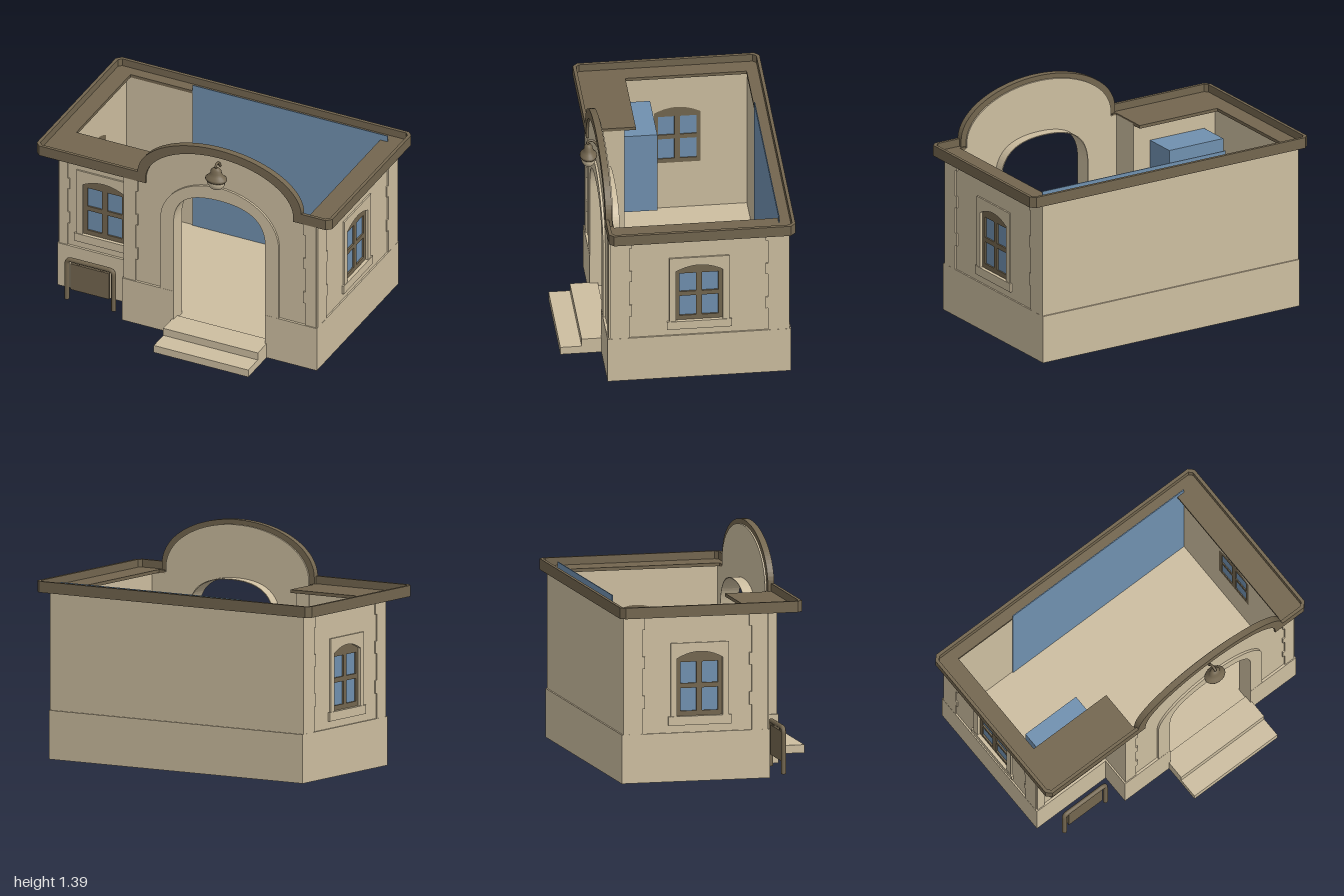
import * as THREE from 'three';

const mat = (name, color) => Object.assign(new THREE.MeshStandardMaterial({ color }), { name });

export function createModel() {
  const root = new THREE.Group();
  root.name = 'gatehouse';
  const stone = mat('sandStone', 0xcdbea0);
  const brown = mat('darkBrown', 0x73664f);
  const blue = mat('blueGlass', 0x7090af);

  const add = (parent, name, geo, material, x = 0, y = 0, z = 0) => {
    const m = new THREE.Mesh(geo, material);
    m.name = name;
    m.position.set(x, y, z);
    parent.add(m);
    return m;
  };
  // box given by its limits
  const box = (parent, name, material, x0, x1, y0, y1, z0, z1) =>
    add(parent, name, new THREE.BoxGeometry(x1 - x0, y1 - y0, z1 - z0), material,
      (x0 + x1) / 2, (y0 + y1) / 2, (z0 + z1) / 2);
  const poly = pts => new THREE.Shape(pts.map(p => new THREE.Vector2(p[0], p[1])));
  const rect = (x0, x1, y0, y1) => poly([[x0, y0], [x1, y0], [x1, y1], [x0, y1]]);
  const extrude = (shape, depth) =>
    new THREE.ExtrudeGeometry(shape, { depth, bevelEnabled: false, curveSegments: 16 });
  // ground plan in (x, z), raised from y0 to y1
  const plan = (pts, y0, y1) => extrude(poly(pts.map(p => [p[0], -p[1]])), y1 - y0)
    .rotateX(-Math.PI / 2).translate(0, y0, 0);

  // arch outline about x = 0.25: straight jambs, then two rounded quarters
  const archPts = (hw, y0, ys, top, k = 0.5523) => {
    const c = 0.25, h = top - ys, s = new THREE.Shape();
    s.moveTo(c - hw, y0);
    s.lineTo(c - hw, ys);
    s.bezierCurveTo(c - hw, ys + h * k, c - hw * k, top, c, top);
    s.bezierCurveTo(c + hw * k, top, c + hw, ys + h * k, c + hw, ys);
    s.lineTo(c + hw, y0);
    return s.getPoints(20).map(p => [p.x, p.y]);
  };
  const archBand = (outer, inner) => poly([...outer, ...inner.slice().reverse()]);

  // floor and plinth, open at the door
  const outline = [[-0.94, 0.25], [-0.94, -0.68], [0.91, -0.68], [0.91, 0.44]];
  add(root, 'floor', plan([...outline, [-0.41, 0.44], [-0.41, 0.25]], 0, 0.08), stone);
  add(root, 'plinth', plan([[-0.06, 0.44], [-0.41, 0.44], [-0.41, 0.25], ...outline,
    [0.56, 0.44], [0.56, 0.39], [0.87, 0.39], [0.87, -0.615], [-0.9, -0.615],
    [-0.9, 0.2], [-0.31, 0.2], [-0.31, 0.39], [-0.06, 0.39]], 0.08, 0.3), stone);
  box(root, 'upperStep', stone, -0.07, 0.57, 0, 0.1, 0.39, 0.56);
  box(root, 'lowerStep', stone, -0.07, 0.57, 0, 0.05, 0.56, 0.69);

  // arched window outline about x = c
  const windowShape = c => {
    const s = new THREE.Shape();
    s.moveTo(c - 0.143, 0.4);
    s.lineTo(c + 0.143, 0.4);
    s.lineTo(c + 0.143, 0.755);
    s.quadraticCurveTo(c, 0.835, c - 0.143, 0.755);
    s.closePath();
    return s;
  };
  const addWindow = (g, c) => {
    const frame = windowShape(c);
    for (const x of [-0.118, 0.018])
      for (const [y0, y1] of [[0.43, 0.57], [0.6, 0.73]])
        frame.holes.push(rect(c + x, c + x + 0.1, y0, y1));
    add(g, 'windowFrame', extrude(frame, 0.022), brown, 0, 0, -0.03);
    box(g, 'windowGlass', blue, c - 0.13, c + 0.13, 0.41, 0.75, -0.024, -0.018);
    const surround = rect(c - 0.183, c + 0.183, 0.4, 0.85);
    surround.holes.push(windowShape(c));
    add(g, 'windowSurround', extrude(surround, 0.01), stone);
    box(g, 'windowSill', stone, c - 0.198, c + 0.198, 0.345, 0.4, -0.01, 0.014);
  };
  // toothed corner strip from x, growing towards dir
  const addQuoin = (g, x, dir, w) => {
    const pts = [[x, 0.3], [x + dir * w, 0.3]];
    for (const [y0, y1] of [[0.455, 0.535], [0.7, 0.775], [0.94, 1.02]])
      pts.push([x + dir * w, y0], [x + dir * (w + 0.015), y0], [x + dir * (w + 0.015), y1], [x + dir * w, y1]);
    pts.push([x, 1.02]);
    add(g, 'cornerStones', extrude(poly(pts), 0.009), stone);
  };
  // wall with a window, outer face at local z = 0
  const addWall = (name, x0, x1, c, pos, turn) => {
    const g = new THREE.Group();
    g.name = name;
    const s = rect(x0, x1, 0.3, 1.03);
    s.holes.push(windowShape(c));
    add(g, 'wall', extrude(s, 0.03), stone, 0, 0, -0.03);
    addWindow(g, c);
    g.position.set(...pos);
    g.rotation.y = turn;
    root.add(g);
    return g;
  };
  const right = addWall('rightWall', -0.425, 0.67, 0.12, [0.9, 0, 0], Math.PI / 2);
  addQuoin(right, -0.425, 1, 0.12);
  addQuoin(right, 0.67, -1, 0.13);
  const left = addWall('leftWall', -0.67, 0.235, -0.19, [-0.93, 0, 0], -Math.PI / 2);
  addQuoin(left, -0.67, 1, 0.12);
  addQuoin(left, 0.235, -1, 0.1);
  const recess = addWall('recessedWall', -0.93, -0.31, -0.63, [0, 0, 0.235], 0);
  addQuoin(recess, -0.93, 1, 0.055);
  box(root, 'backWall', stone, -0.93, 0.9, 0.3, 1.03, -0.67, -0.615);
  box(root, 'porchSideWall', stone, -0.4, -0.31, 0.3, 1.03, 0.2, 0.41);

  // front wall with arched gable and doorway
  const door = archPts(0.31, 0.08, 0.79, 1.03, 0.68);
  const doorTop = archPts(0.31, 0.3, 0.79, 1.03, 0.68);
  const front = poly([[-0.4, 0.3], [-0.4, 1.03], ...archPts(0.52, 1.03, 1.06, 1.36), [0.9, 1.03], [0.9, 0.3],
    ...doorTop.slice().reverse()]);
  add(root, 'frontWall', extrude(front, 0.035), stone, 0, 0, 0.39);
  add(root, 'doorTrim', extrude(archBand(archPts(0.4, 0.3, 0.8, 1.12), doorTop), 0.015), stone, 0, 0, 0.424);
  add(root, 'doorReveal', extrude(archBand(archPts(0.315, 0.08, 0.79, 1.035, 0.68), door), 0.108),
    stone, 0, 0, 0.325);
  add(root, 'gableRim', extrude(archBand(archPts(0.555, 1.02, 1.08, 1.39),
    archPts(0.5, 1.02, 1.05, 1.335)), 0.04), brown, 0, 0, 0.4);
  const frontStones = new THREE.Group();
  frontStones.name = 'frontCornerStones';
  frontStones.position.z = 0.425;
  root.add(frontStones);
  addQuoin(frontStones, -0.4, 1, 0.08);
  addQuoin(frontStones, 0.9, -1, 0.07);

  // cornice: a flat ledge, which also roofs the porch, inside a raised lip
  const rim = [[-0.28, 0.44], [-0.97, 0.44], [-1, 0.41], [-1, -0.67], [-0.97, -0.7],
    [0.97, -0.7], [1, -0.67], [1, 0.41], [0.97, 0.44], [0.78, 0.44]];
  add(root, 'corniceLedge', plan([...rim, [0.78, 0.39], [0.82, 0.39], [0.82, -0.61], [-0.87, -0.61],
    [-0.87, 0.13], [-0.31, 0.13], [-0.31, 0.39], [-0.28, 0.39]], 1.02, 1.04), brown);
  add(root, 'corniceLip', plan([...rim, [0.78, 0.42], [0.96, 0.42], [0.98, 0.4], [0.98, -0.66], [0.96, -0.68],
    [-0.96, -0.68], [-0.98, -0.66], [-0.98, 0.4], [-0.96, 0.42], [-0.28, 0.42]], 1.035, 1.088), brown);

  // blue panels inside
  box(root, 'backPanel', blue, -0.45, 0.87, 0.08, 1.08, -0.614, -0.608);
  box(root, 'windowBox', blue, -0.82, -0.43, 0.36, 0.9, -0.015, 0.2);

  // lantern over the door
  const lamp = new THREE.Group();
  lamp.name = 'lantern';
  lamp.position.set(0.25, 0, 0.483);
  root.add(lamp);
  const shadePts = [[0, 1.2], [0.062, 1.2], [0.07, 1.212], [0.068, 1.222], [0.05, 1.237], [0.037, 1.255],
    [0.034, 1.275], [0.022, 1.288], [0.012, 1.293], [0, 1.294]];
  const shade = new THREE.LatheGeometry(shadePts.map(q => new THREE.Vector2(...q)), 24);
  add(lamp, 'lampShade', shade, brown).scale.z = 0.75;
  add(lamp, 'lampBulb', new THREE.SphereGeometry(0.058, 24, 16), stone, 0, 1.197, 0).scale.z = 0.78;
  const hook = new THREE.CatmullRomCurve3([[0, 1.285, 0], [0, 1.308, 0.004], [0, 1.315, -0.02],
    [0, 1.3, -0.042], [0, 1.275, -0.055]].map(q => new THREE.Vector3(...q)));
  add(lamp, 'lampHook', new THREE.TubeGeometry(hook, 20, 0.008, 8), brown);

  // pipe stand with a board in front of the recess
  const stand = new THREE.Group();
  stand.name = 'pipeStand';
  stand.position.set(-0.66, 0, 0.365);
  root.add(stand);
  const bar = new THREE.CurvePath();
  const v = (x, y) => new THREE.Vector3(x, y, 0);
  bar.add(new THREE.LineCurve3(v(-0.158, 0), v(-0.158, 0.25)));
  bar.add(new THREE.QuadraticBezierCurve3(v(-0.158, 0.25), v(-0.158, 0.282), v(-0.126, 0.282)));
  bar.add(new THREE.LineCurve3(v(-0.126, 0.282), v(0.126, 0.282)));
  bar.add(new THREE.QuadraticBezierCurve3(v(0.126, 0.282), v(0.158, 0.282), v(0.158, 0.25)));
  bar.add(new THREE.LineCurve3(v(0.158, 0.25), v(0.158, 0)));
  add(stand, 'standPipe', new THREE.TubeGeometry(bar, 80, 0.015, 10), brown);
  box(stand, 'standBoard', brown, -0.13, 0.13, 0.075, 0.258, -0.008, 0.008);
  for (const x of [-0.08, 0.08]) box(stand, 'boardHanger', brown, x - 0.008, x + 0.008, 0.25, 0.28, -0.005, 0.005);

  return root;
}
